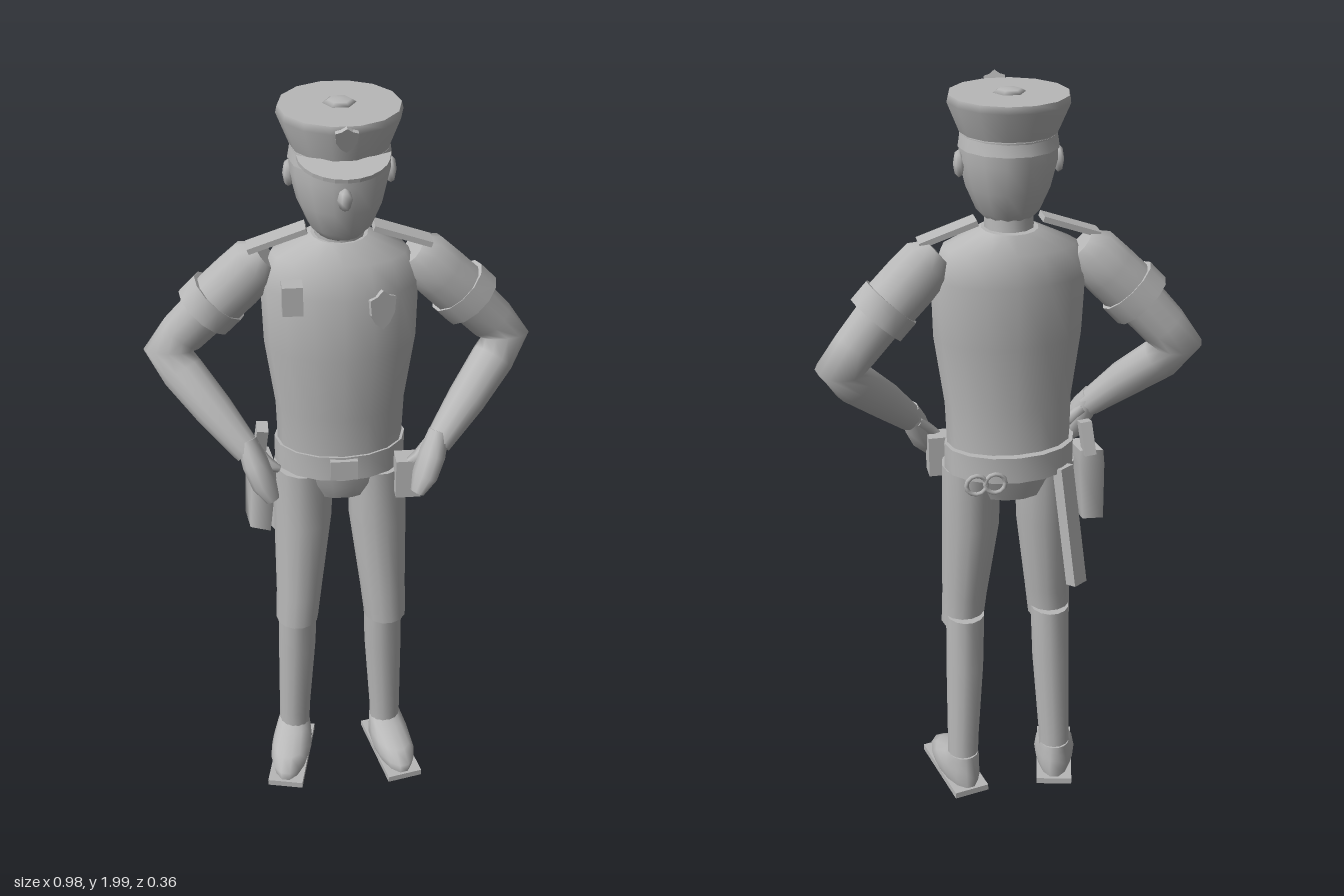
import * as THREE from 'three';

const grey = new THREE.MeshStandardMaterial({ color: 0xb8b8b8 });
grey.name = 'plain grey';

function add(parent, name, geometry, pos = [0, 0, 0], rot = [0, 0, 0]) {
  const m = new THREE.Mesh(geometry, grey);
  m.name = name;
  m.position.set(...pos);
  m.rotation.set(...rot);
  parent.add(m);
  return m;
}

// Capped skin over elliptical rings [x, y, z, r1, r2].
// follow = false: level rings, listed upward. follow = true: rings square to the path, r1 lying towards z.
function loft(rings, n = 14, follow = false) {
  const c = rings.map(r => new THREE.Vector3(r[0], r[1], r[2]));
  const pos = [], index = [];
  rings.forEach((r, i) => {
    let u = new THREE.Vector3(1, 0, 0), v = new THREE.Vector3(0, 0, -1);
    if (follow) {
      const t = new THREE.Vector3();
      if (i > 0) t.add(c[i].clone().sub(c[i - 1]).normalize());
      if (i < c.length - 1) t.add(c[i + 1].clone().sub(c[i]).normalize());
      t.normalize();
      u = new THREE.Vector3(0, 0, 1).addScaledVector(t, -t.z).normalize();
      v = t.clone().cross(u);
    }
    for (let j = 0; j < n; j++) {
      const a = j / n * Math.PI * 2;
      const p = c[i].clone().addScaledVector(u, Math.cos(a) * r[3]).addScaledVector(v, Math.sin(a) * r[4]);
      pos.push(p.x, p.y, p.z);
    }
  });
  for (let i = 0; i < rings.length - 1; i++) for (let j = 0; j < n; j++) {
    const a = i * n + j, b = i * n + (j + 1) % n;
    index.push(a, b, a + n, b, b + n, a + n);
  }
  // end caps with their own vertices, for a sharp rim
  for (const [i, top] of [[0, false], [rings.length - 1, true]]) {
    const base = pos.length / 3;
    pos.push(...pos.slice(i * n * 3, (i + 1) * n * 3), c[i].x, c[i].y, c[i].z);
    for (let j = 0; j < n; j++) {
      const a = base + j, b = base + (j + 1) % n;
      index.push(...(top ? [a, b, base + n] : [b, a, base + n]));
    }
  }
  const g = new THREE.BufferGeometry();
  g.setAttribute('position', new THREE.Float32BufferAttribute(pos, 3));
  g.setIndex(index);
  g.computeVertexNormals();
  return g;
}

function ellipsoid(rx, ry, rz, w = 8, h = 6) {
  return new THREE.SphereGeometry(1, w, h).scale(rx, ry, rz);
}

// Shield plate, w wide and h high, facing +z
function shield(w, h, depth) {
  const pts = [[-.5, .3], [-.25, .36], [0, .5], [.25, .36], [.5, .3], [.45, -.1], [.25, -.35], [0, -.5], [-.25, -.35], [-.45, -.1]];
  const s = new THREE.Shape(pts.map(p => new THREE.Vector2(p[0] * w, p[1] * h)).reverse());
  return new THREE.ExtrudeGeometry(s, { depth, bevelEnabled: false });
}

export function createModel() {
  const root = new THREE.Group();
  root.name = 'officer';

  // Body
  add(root, 'pelvis', loft([[0, .945, -.015, .105, .085], [0, .99, -.015, .125, .105], [0, 1.04, -.02, .16, .115]]));
  add(root, 'torso', loft([
    [0, 1.04, -.02, .16, .113], [0, 1.2, -.013, .165, .112], [0, 1.38, -.01, .19, .131],
    [0, 1.54, -.02, .195, .131], [0, 1.615, -.025, .168, .105], [0, 1.66, -.03, .07, .075]], 16));
  add(root, 'belt', loft([[0, 1.02, -.025, .17, .126], [0, 1.09, -.025, .17, .126]], 16));
  add(root, 'buckle', new THREE.BoxGeometry(.07, .055, .015), [0, 1.057, .103]);

  // Head
  add(root, 'neck', loft([[0, 1.63, -.025, .062, .062], [0, 1.72, -.02, .06, .062]], 12));
  add(root, 'head', loft([
    [0, 1.675, -.005, .055, .065], [0, 1.7, -.005, .078, .09], [0, 1.76, -.008, .104, .114],
    [0, 1.83, -.012, .121, .128], [0, 1.89, -.015, .118, .126]]));
  add(root, 'nose', ellipsoid(.018, .028, .024, 6, 4), [0, 1.803, .116]);
  for (const s of [1, -1]) add(root, 'ear', ellipsoid(.014, .034, .025, 8, 4), [s * .121, 1.818, -.02]);

  // Cap
  add(root, 'capBand', loft([[0, 1.858, -.017, .123, .13], [0, 1.895, -.015, .117, .124]], 14));
  add(root, 'capCrown', loft([
    [0, 1.892, -.015, .118, .125], [0, 1.965, -.021, .148, .155], [0, 1.982, -.022, .144, .151]], 14));
  add(root, 'capButton', ellipsoid(.04, .01, .04, 6, 4), [0, 1.983, -.025]);
  const visor = new THREE.Shape();
  visor.moveTo(-.108, 0);
  visor.absellipse(0, 0, .108, .105, Math.PI, 0, true);
  visor.quadraticCurveTo(0, .05, -.108, 0);
  add(root, 'visor', new THREE.ExtrudeGeometry(visor, { depth: .01, bevelEnabled: false, curveSegments: 6 }),
    [0, 1.9, .077], [Math.PI / 2 + .2, 0, 0]);
  add(root, 'capBadge', shield(.052, .068, .01), [0, 1.963, .145], [.35, 0, 0]);

  // Limbs, mirrored
  for (const s of [1, -1]) {
    const side = s > 0 ? 'left' : 'right';
    const path = rings => rings.map(r => [r[0] * s, ...r.slice(1)]);
    add(root, side + 'Sleeve', loft(path([
      [.178, 1.605, -.03, .045, .04], [.205, 1.582, -.033, .065, .068],
      [.25, 1.535, -.037, .07, .072], [.32, 1.465, -.045, .066, .073]]), 12, true));
    add(root, side + 'Cuff', loft(path([[.295, 1.492, -.043, .07, .082], [.335, 1.45, -.048, .07, .082]]), 12, true));
    add(root, side + 'Arm', loft(path([
      [.3, 1.485, -.043, .06, .064], [.39, 1.385, -.063, .053, .06], [.43, 1.335, -.066, .05, .062],
      [.395, 1.285, -.035, .052, .056], [.32, 1.205, .03, .048, .05], [.24, 1.115, .09, .034, .036]]), 12, true));
    add(root, side + 'Hand', loft(path([
      [.245, 1.145, .08, .03, .026], [.225, 1.09, .105, .046, .034],
      [.205, 1.04, .125, .046, .032], [.185, 1.0, .14, .024, .018]]), 10, true));
    add(root, side + 'Thumb', loft(path([
      [.225, 1.11, .075, .018, .018], [.19, 1.075, .09, .017, .017], [.165, 1.06, .09, .01, .01]]), 6, true));
    add(root, side + 'Epaulette', new THREE.BoxGeometry(.15, .014, .055), [s * .152, 1.653, -.022], [0, 0, -s * .33]);

    add(root, side + 'Trouser', loft(path([
      [.122, .525, .022, .058, .062], [.115, .62, .018, .062, .068],
      [.1, .85, -.005, .077, .085], [.097, 1.02, -.01, .078, .092]])));
    add(root, side + 'LowerLeg', loft(path([
      [.133, .07, -.022, .043, .044], [.132, .15, -.021, .044, .046],
      [.122, .4, -.01, .052, .06], [.118, .56, -.004, .053, .062]])));

    // Foot, toes turned out
    const foot = new THREE.Group();
    foot.name = side + 'Foot';
    foot.position.set(s * .135, 0, -.02);
    foot.rotation.y = s * .22;
    root.add(foot);
    add(foot, 'sole', new THREE.BoxGeometry(.1, .018, .25), [0, .009, .055]);
    add(foot, 'shoe', loft([
      [0, .018, .055, .05, .12], [0, .045, .055, .058, .122], [0, .07, .038, .054, .1],
      [0, .095, .005, .047, .062], [0, .112, -.008, .042, .045]]));
  }

  // Chest kit
  add(root, 'chestBadge', shield(.07, .1, .012), [.09, 1.508, .092], [-.08, .38, 0]);
  add(root, 'chestRadio', new THREE.BoxGeometry(.05, .075, .045), [-.124, 1.548, .095]);

  // Belt kit
  add(root, 'pouch', new THREE.BoxGeometry(.065, .11, .055), [.167, 1.015, .075]);
  add(root, 'holster', loft([
    [0, -.11, .01, .042, .062], [0, .06, 0, .046, .075], [0, .1, -.005, .044, .07]], 4)
    .rotateY(Math.PI / 4), [-.215, .945, -.01], [0, 0, -.1]).scale.x = .72;
  add(root, 'holsterGrip', new THREE.BoxGeometry(.03, .09, .04), [-.205, 1.075, -.035], [.25, 0, -.1]);
  add(root, 'baton', new THREE.BoxGeometry(.045, .33, .032), [-.14, .872, -.13], [.17, .6, 0, 'YXZ']);
  for (const x of [.065, .113])
    add(root, 'handcuff', new THREE.TorusGeometry(.026, .006, 6, 12), [x, 1.037, -.172]);

  return root;
}
